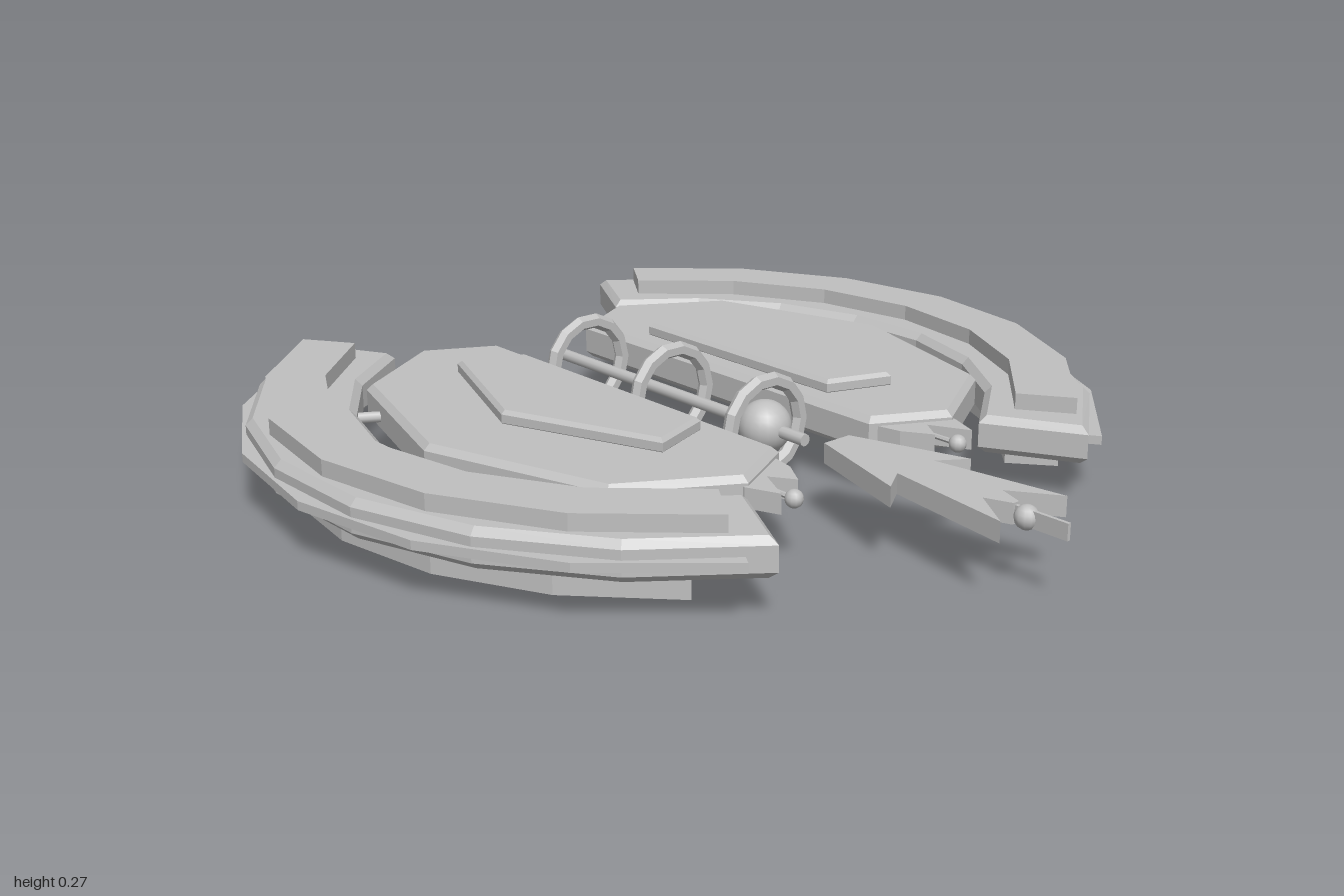
import * as THREE from 'three';

const CX = -0.157; // centre of the circular hull

export function createModel() {
  const root = new THREE.Group();
  const grey = new THREE.MeshStandardMaterial({ color: 0xc0c0c0 });
  grey.name = 'hull grey';
  grey.flatShading = true;
  const smooth = new THREE.MeshStandardMaterial({ color: 0xc0c0c0 });
  smooth.name = 'smooth hull grey';

  const add = (name, geo, x = 0, y = 0, z = 0, mat = grey) => {
    const mesh = new THREE.Mesh(geo, mat);
    mesh.name = name;
    mesh.position.set(x, y, z);
    root.add(mesh);
    return mesh;
  };

  // Horizontal plate from [x, z] outline points, optionally bevelled
  const slab = (name, pts, y0, y1, bevel = 0) => {
    const shape = new THREE.Shape(pts.map(([x, z]) => new THREE.Vector2(x, -z)));
    const geo = new THREE.ExtrudeGeometry(shape, {
      depth: y1 - y0 - 2 * bevel, bevelEnabled: bevel > 0, bevelThickness: bevel,
      bevelSize: bevel, bevelOffset: -bevel, bevelSegments: 1,
    });
    geo.rotateX(-Math.PI / 2);
    return add(name, geo, 0, y0 + bevel, 0);
  };

  // Faceted arc band outline; start is the end angle in degrees
  const band = (s, rIn, rOut, start, n) => {
    const at = (r, i) => {
      const a = THREE.MathUtils.degToRad(start + (180 - 2 * start) * i / n);
      return [CX + r * Math.cos(a), s * r * Math.sin(a)];
    };
    const pts = [];
    for (let i = 0; i <= n; i++) pts.push(at(rOut, i));
    for (let i = n; i >= 0; i--) pts.push(at(rIn, i));
    return pts;
  };

  for (const s of [1, -1]) {
    const side = (pts) => pts.map(([x, z]) => [x, z * s]);

    // Outer crescent: main band, raised top, lower keel and thin rim
    slab('crescentHull', band(s, 0.722, 0.963, 28.6, 7), 0.09, 0.177, 0.016);
    slab('crescentTop', band(s, 0.79, 0.925, 34, 6), 0.17, 0.214);
    slab('crescentKeel', band(s, 0.77, 0.89, 38.2, 6), 0.028, 0.1);
    slab('crescentRim', band(s, 0.94, 0.985, 32.3, 6), 0.12, 0.14);

    // Inner hull plate with raised deck
    slab('innerHull', side([[-0.65, 0.135], [0.345, 0.135], [0.435, 0.305], [0.29, 0.55],
      [CX, 0.682], [-0.59, 0.55], [-0.74, 0.305]]), 0.1, 0.187, 0.014);
    slab('raisedDeck', side([[-0.465, 0.19], [0.16, 0.19], [0.215, 0.342],
      [CX, 0.482], [-0.525, 0.342]]), 0.18, 0.217, 0.009);

    // Forked fin with ball
    slab('fork', side([[0.34, 0.15], [0.41, 0.165], [0.475, 0.205], [0.42, 0.24],
      [0.51, 0.285], [0.435, 0.315], [0.36, 0.31]]), 0.122, 0.167);
    add('forkBall', new THREE.SphereGeometry(0.02, 12, 8), 0.505, 0.145, 0.245 * s, smooth);
    const stem = add('forkStem', new THREE.CylinderGeometry(0.006, 0.006, 0.1, 6), 0.45, 0.145, 0.245 * s);
    stem.rotation.z = Math.PI / 2;

    // Belly turret
    add('turretCone', new THREE.CylinderGeometry(0.09, 0.06, 0.09, 16), CX, 0.06, 0.38 * s, smooth);
    const dome = new THREE.SphereGeometry(0.045, 16, 6, 0, Math.PI * 2, Math.PI / 2, Math.PI / 2);
    dome.scale(1, 0.4, 1);
    add('turretDome', dome, CX, 0.018, 0.38 * s, smooth);

    // Struts joining hull and crescent
    for (const deg of [60, 90, 120]) {
      const a = THREE.MathUtils.degToRad(deg);
      const geo = new THREE.CylinderGeometry(0.013, 0.013, 0.2, 8);
      geo.rotateZ(Math.PI / 2);
      const strut = add('strut', geo, CX + 0.69 * Math.cos(a), 0.14, 0.69 * Math.sin(a) * s, smooth);
      strut.rotation.y = -a * s;
    }
  }

  // Central axle, rings and core sphere
  const axle = new THREE.CylinderGeometry(0.014, 0.014, 0.88, 10);
  axle.rotateZ(Math.PI / 2);
  add('axle', axle, -0.155, 0.152, 0, smooth);
  for (const x of [-0.47, CX, 0.158]) {
    const ring = new THREE.TorusGeometry(0.105, 0.018, 6, 14);
    ring.rotateY(Math.PI / 2);
    add('ring', ring, x, 0.152, 0);
  }
  add('core', new THREE.SphereGeometry(0.06, 20, 14), 0.158, 0.152, 0, smooth);

  // Barbed tail with end ball and blade
  slab('tail', [[0.38, -0.037], [0.65, -0.12], [0.607, -0.055], [0.915, -0.1], [0.81, -0.03],
    [0.87, -0.008], [0.87, 0.008], [0.81, 0.03], [0.915, 0.1], [0.607, 0.055],
    [0.65, 0.12], [0.38, 0.037]], 0.135, 0.18);
  add('tailBall', new THREE.SphereGeometry(0.026, 12, 8), 0.897, 0.157, 0, smooth);
  add('tailBlade', new THREE.BoxGeometry(0.19, 0.036, 0.008), 0.905, 0.157, 0);

  return root;
}
